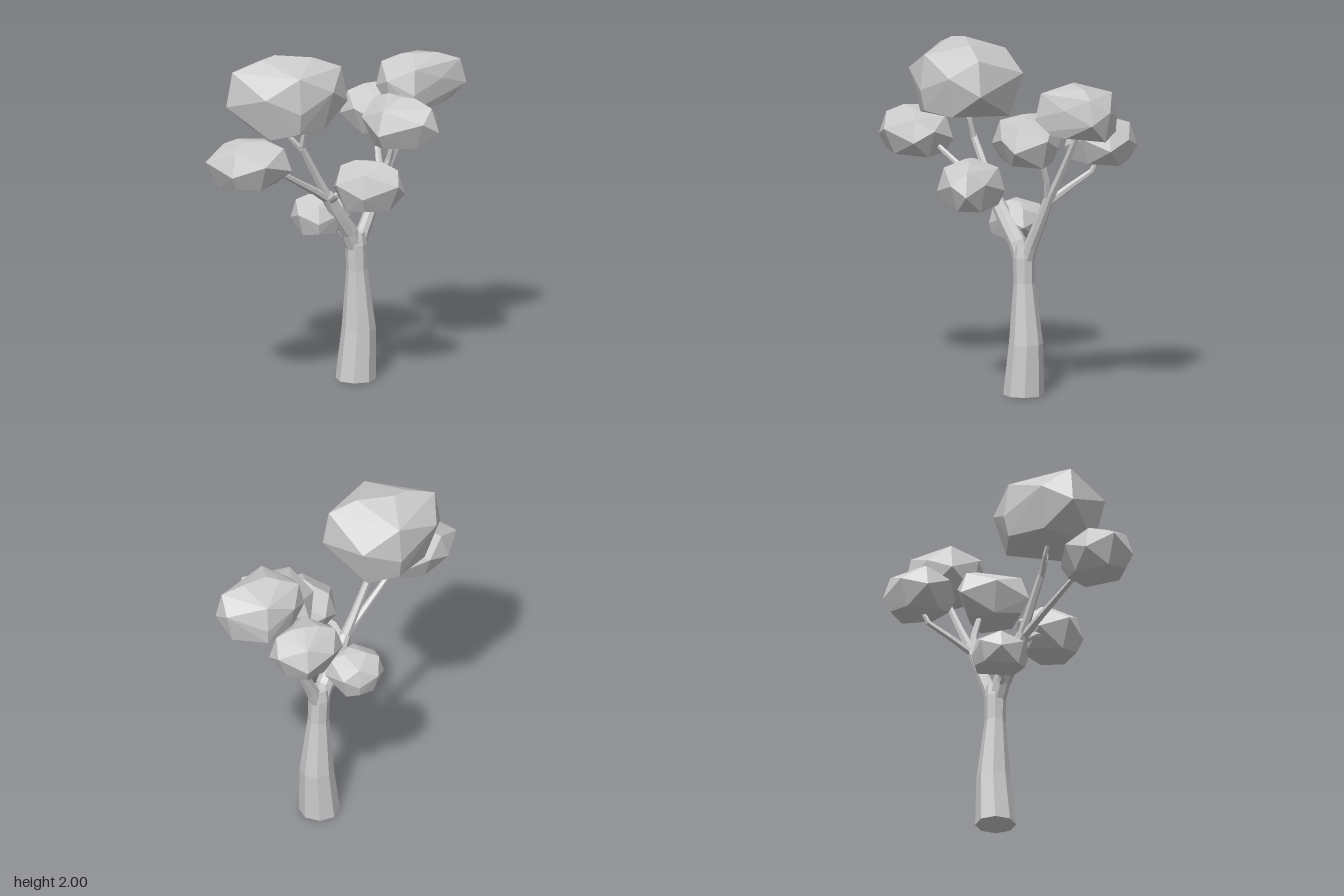
import * as THREE from 'three';
import { ConvexGeometry } from 'three/addons/geometries/ConvexGeometry.js';

const material = new THREE.MeshStandardMaterial({ color: 0xcccccc, flatShading: true });
const UP = new THREE.Vector3(0, 1, 0);

// Tapered limb: a capped cylinder whose rings follow [x, y, z, radius] stations
function limb(name, stations, sides = 6) {
  const n = stations.length - 1;
  const pts = stations.map(([x, y, z]) => new THREE.Vector3(x, y, z));
  const turns = pts.map((p, i) => {
    const dir = pts[Math.min(i + 1, n)].clone().sub(pts[Math.max(i - 1, 0)]).normalize();
    // the ring on the ground stays level
    return new THREE.Quaternion().setFromUnitVectors(UP, p.y === 0 ? UP : dir);
  });
  const geometry = new THREE.CylinderGeometry(1, 1, 1, sides, n);
  const pos = geometry.attributes.position;
  const v = new THREE.Vector3();
  for (let i = 0; i < pos.count; i++) {
    const k = Math.round((pos.getY(i) + 0.5) * n);
    const r = stations[k][3];
    v.set(pos.getX(i) * r, 0, pos.getZ(i) * r).applyQuaternion(turns[k]).add(pts[k]);
    pos.setXYZ(i, v.x, v.y, v.z);
  }
  geometry.computeVertexNormals();
  const mesh = new THREE.Mesh(geometry, material);
  mesh.name = name;
  return mesh;
}

// Faceted leaf clump: hull of a plan outline [x, z], narrowed to a base and a crown.
// low/high: bottom and top heights, peak: [x, z] of the highest point
function clump(name, { outline, low, high, peak, base = 0.68, crown = 0.68 }) {
  const h = high - low;
  const cx = outline.reduce((s, p) => s + p[0], 0) / outline.length;
  const cz = outline.reduce((s, p) => s + p[1], 0) / outline.length;
  const points = [new THREE.Vector3(peak[0], high, peak[1])];
  outline.forEach(([x, z], i) => {
    const at = (s, t) => points.push(
      new THREE.Vector3(cx + (x - cx) * s, low + h * t, cz + (z - cz) * s));
    at(1, i % 2 ? 0.36 : 0.58);
    if (i % 2) at(crown + 0.12, 0.83);
    else at(base, 0.02 * (i % 4));
    if (i % 4 === 1) at(crown * 0.55, 0.97);
    if (i % 4 === 3) at(base + 0.12, 0.08);
  });
  const mesh = new THREE.Mesh(new ConvexGeometry(points), material);
  mesh.name = name;
  return mesh;
}

export function createModel() {
  const tree = new THREE.Group();
  tree.name = 'tree';

  // Trunk and its two main boughs
  const wood = new THREE.Group();
  wood.name = 'wood';
  wood.add(
    limb('trunk', [[-0.037, 0, -0.17, 0.117], [-0.035, 0.3, -0.19, 0.098],
      [-0.035, 0.65, -0.176, 0.061], [-0.037, 0.8, -0.172, 0.063],
      [-0.037, 0.87, -0.172, 0.052]], 8),
    limb('frontBough', [[-0.037, 0.76, -0.17, 0.05], [-0.037, 0.88, -0.12, 0.052],
      [-0.035, 1.02, -0.02, 0.047], [-0.03, 1.13, 0.05, 0.036]], 8),
    limb('backBough', [[-0.037, 0.76, -0.18, 0.045], [-0.035, 0.87, -0.225, 0.04],
      [-0.035, 1.0, -0.29, 0.035], [-0.035, 1.2, -0.385, 0.029]], 8),
  );

  // Thinner branches that carry the clumps
  const branches = {
    upperFrontBranch: [[-0.03, 1.06, 0.01, 0.034], [-0.04, 1.24, 0.11, 0.025], [-0.05, 1.46, 0.23, 0.02]],
    upperFrontTwigA: [[-0.05, 1.43, 0.22, 0.018], [-0.09, 1.52, 0.29, 0.014], [-0.11, 1.64, 0.36, 0.011]],
    upperFrontTwigB: [[-0.05, 1.43, 0.22, 0.018], [-0.02, 1.54, 0.225, 0.015], [0, 1.66, 0.23, 0.013]],
    lowerFrontBranch: [[-0.03, 1.09, 0.02, 0.028], [-0.025, 1.17, 0.14, 0.022], [-0.01, 1.4, 0.52, 0.013]],
    leftBranch: [[-0.03, 1.09, 0.03, 0.025], [0.06, 1.15, 0.05, 0.02], [0.2, 1.2, 0.01, 0.015]],
    rightLowBranch: [[-0.04, 0.8, -0.15, 0.026], [-0.07, 0.89, -0.08, 0.02], [-0.14, 0.97, -0.02, 0.014]],
    backLeftBranch: [[-0.035, 1.15, -0.36, 0.025], [0, 1.27, -0.385, 0.02], [0.07, 1.47, -0.39, 0.015]],
    backTopBranch: [[-0.035, 1.16, -0.37, 0.028], [-0.035, 1.32, -0.46, 0.023], [-0.03, 1.62, -0.62, 0.016]],
    backRightBranch: [[-0.035, 1.14, -0.36, 0.024], [-0.15, 1.23, -0.43, 0.02],
      [-0.25, 1.31, -0.5, 0.017], [-0.29, 1.43, -0.54, 0.013]],
  };
  for (const [name, stations] of Object.entries(branches)) wood.add(limb(name, stations));
  tree.add(wood);

  // Leaf clumps
  const clumps = {
    topFrontClump: {
      low: 1.565, high: 2, peak: [-0.12, 0.36], base: 0.78, crown: 0.78,
      outline: [[-0.22, 0], [0.12, 0.02], [0.2, 0.19], [0.19, 0.42], [0.09, 0.6],
        [-0.21, 0.645], [-0.32, 0.5], [-0.33, 0.2]],
    },
    lowFrontClump: {
      low: 1.3, high: 1.58, peak: [0.02, 0.7],
      outline: [[0.07, 0.42], [0.18, 0.48], [0.2, 0.69], [0.08, 0.84], [-0.11, 0.88],
        [-0.19, 0.73], [-0.2, 0.57], [-0.1, 0.43]],
    },
    topBackClump: {
      low: 1.56, high: 1.865, peak: [0, -0.57], base: 0.85, crown: 0.75,
      outline: [[0.01, -0.88], [0.13, -0.85], [0.15, -0.65], [0.16, -0.44], [0.01, -0.36],
        [-0.15, -0.41], [-0.21, -0.55], [-0.19, -0.75]],
    },
    backRightClump: {
      low: 1.36, high: 1.64, peak: [-0.28, -0.55],
      outline: [[-0.28, -0.76], [-0.17, -0.72], [-0.1, -0.57], [-0.13, -0.4], [-0.25, -0.33],
        [-0.4, -0.35], [-0.47, -0.5], [-0.44, -0.68]],
    },
    backLeftClump: {
      low: 1.385, high: 1.68, peak: [0.15, -0.34],
      outline: [[0.2, -0.57], [0.36, -0.46], [0.35, -0.35], [0.2, -0.14], [-0.01, -0.19],
        [-0.14, -0.35], [-0.08, -0.44], [0.06, -0.52]],
    },
    leftClump: {
      low: 1.1, high: 1.39, peak: [0.25, 0.01],
      outline: [[0.31, -0.19], [0.43, -0.15], [0.47, -0.07], [0.38, 0.12], [0.21, 0.18],
        [0.07, 0.08], [0.03, -0.05], [0.11, -0.16]],
    },
    rightLowClump: {
      low: 0.88, high: 1.1, peak: [-0.1, 0], base: 0.78, crown: 0.7,
      outline: [[-0.23, -0.17], [-0.06, -0.15], [0, -0.03], [-0.04, 0.1], [-0.14, 0.17],
        [-0.27, 0.12], [-0.33, 0.01], [-0.29, -0.1]],
    },
  };
  const foliage = new THREE.Group();
  foliage.name = 'foliage';
  for (const [name, shape] of Object.entries(clumps)) foliage.add(clump(name, shape));
  tree.add(foliage);
  return tree;
}
